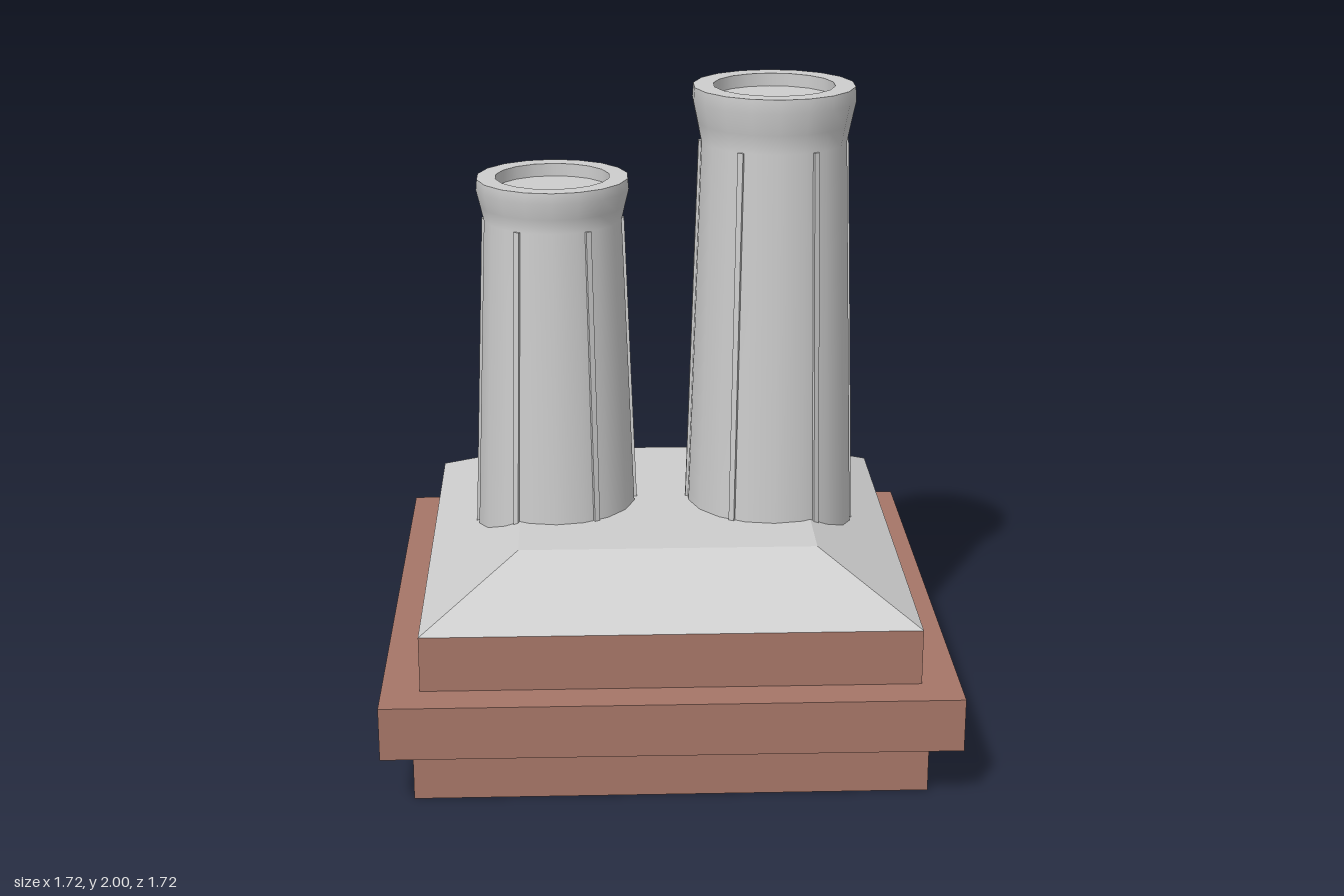
import * as THREE from 'three';
import { mergeGeometries } from 'three/addons/utils/BufferGeometryUtils.js';

const brick = new THREE.MeshStandardMaterial({ color: 0xa67668 });
brick.name = 'brick';
const clay = new THREE.MeshStandardMaterial({ color: 0xcdcdcd });
clay.name = 'pale grey clay';

const SIDES = 18;

function addMesh(parent, name, geometry, material) {
  const mesh = new THREE.Mesh(geometry, material);
  mesh.name = name;
  parent.add(mesh);
  return mesh;
}

// Square block standing from y0 to y1; the top may be narrower than the bottom
function block(y0, y1, half, topHalf = half) {
  const g = new THREE.BoxGeometry(2 * half, y1 - y0, 2 * half);
  g.translate(0, (y0 + y1) / 2, 0);
  const p = g.attributes.position;
  for (let i = 0; i < p.count; i++) {
    if (p.getY(i) > (y0 + y1) / 2) {
      p.setX(i, Math.sign(p.getX(i)) * topHalf);
      p.setZ(i, Math.sign(p.getZ(i)) * topHalf);
    }
  }
  g.computeVertexNormals();
  return g;
}

function lathe(points) {
  return new THREE.LatheGeometry(points.map(([r, y]) => new THREE.Vector2(r, y)), SIDES);
}

// Tapered pot with a flared mouth, a shallow recess and six thin ribs
function pot(name, x, height, rBase, rNeck, rMouth, rRecess, neckY) {
  const group = new THREE.Group();
  group.name = name;
  group.position.x = x;
  const y0 = 0.54;
  const flare = height - neckY;

  addMesh(group, name + 'Wall', lathe([
    [rBase, y0],
    [rNeck, neckY],
    [rNeck + (rMouth - rNeck) * 0.45, neckY + flare * 0.35],
    [rMouth, neckY + flare * 0.75],
    [rMouth - 0.003, height],
  ]), clay);

  // Rim, recess wall and recess floor keep hard edges between them
  const floorY = height - 0.04;
  const mouth = [[rMouth - 0.003, height], [rRecess, height], [rRecess, floorY], [0, floorY]];
  const rings = [];
  for (let i = 0; i < 3; i++) rings.push(lathe([mouth[i], mouth[i + 1]]));
  addMesh(group, name + 'Mouth', mergeGeometries(rings), clay);

  // Ribs lean inwards with the wall
  const ribs = [];
  const h = neckY - y0;
  const lean = Math.atan2(rBase - rNeck, h);
  for (let i = 0; i < 6; i++) {
    const rib = new THREE.BoxGeometry(0.016, h / Math.cos(lean), 0.018);
    rib.rotateZ(lean);
    rib.translate((rBase + rNeck) / 2 - 0.003, (y0 + neckY) / 2, 0);
    rib.rotateY((i * Math.PI) / 3);
    ribs.push(rib);
  }
  addMesh(group, name + 'Ribs', mergeGeometries(ribs), clay);
  return group;
}

export function createModel() {
  const model = new THREE.Group();
  model.name = 'chimney';

  // Stepped brick courses
  addMesh(model, 'lowerCourse', block(0, 0.175, 0.77), brick);
  addMesh(model, 'projectingCourse', block(0.175, 0.34, 0.86), brick);
  addMesh(model, 'upperCourse', block(0.34, 0.512, 0.745), brick);

  // Sloped cap
  addMesh(model, 'slopedCap', block(0.512, 0.667, 0.745, 0.455), clay);

  // Pots
  model.add(pot('shortPot', -0.34, 1.72, 0.256, 0.215, 0.238, 0.177, 1.59));
  model.add(pot('tallPot', 0.34, 2.0, 0.267, 0.226, 0.252, 0.187, 1.83));
  return model;
}
